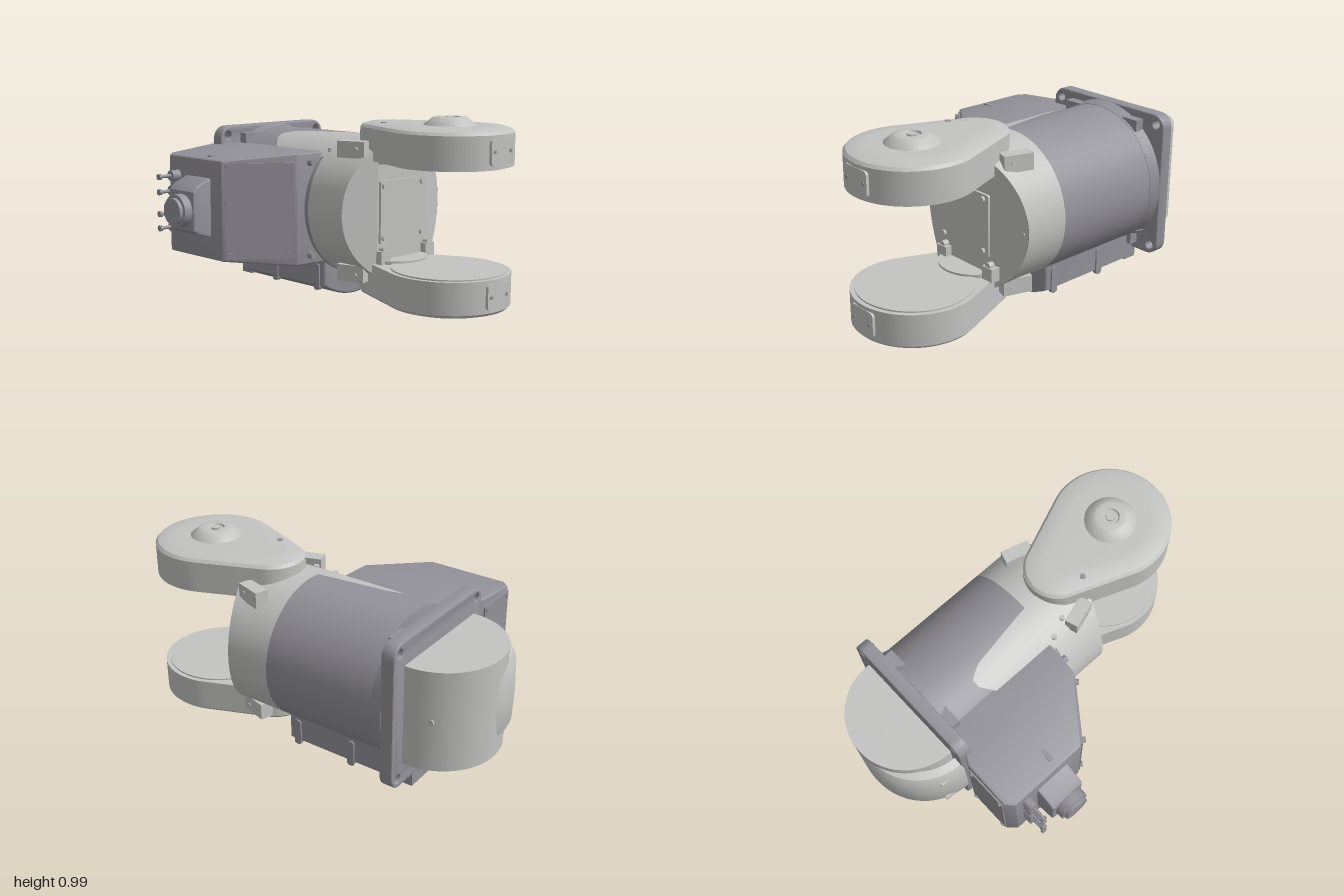
import * as THREE from 'three';
import { toCreasedNormals } from 'three/addons/utils/BufferGeometryUtils.js';

const mat = (name, color, extra = {}) => {
  const m = new THREE.MeshStandardMaterial({ color, ...extra });
  m.name = name;
  return m;
};

export function createModel() {
  const root = new THREE.Group();
  const light = mat('light grey', 0xc3c3c2, { side: THREE.DoubleSide });
  const dark = mat('dark grey', 0x94929a);
  const CX = 0.25, CY = 0.5, R = 0.37;

  const add = (name, geo, m, x = 0, y = 0, z = 0, parent = root) => {
    const mesh = new THREE.Mesh(geo, m);
    mesh.name = name;
    mesh.position.set(x, y, z);
    parent.add(mesh);
    return mesh;
  };
  const cyl = (r1, r2, h, axis = 'y', n = 24) => {
    const g = new THREE.CylinderGeometry(r1, r2, h, n);
    if (axis === 'z') g.rotateX(Math.PI / 2);
    if (axis === 'x') g.rotateZ(Math.PI / 2);
    return g;
  };
  const box = (w, h, d) => new THREE.BoxGeometry(w, h, d);
  const poly = (pts) => new THREE.Shape(pts.map(([x, y]) => new THREE.Vector2(x, y)));
  const extrude = (shape, depth, bevel = 0, bevelThickness = bevel) => toCreasedNormals(
    new THREE.ExtrudeGeometry(shape, {
      depth: depth - 2 * bevelThickness, curveSegments: 32, bevelEnabled: bevel > 0,
      bevelSize: bevel, bevelOffset: -bevel, bevelThickness, bevelSegments: 3,
    }).translate(0, 0, bevelThickness), 0.5);
  const roundRect = (x, y, w, h, r) => {
    const s = new THREE.Shape();
    s.absarc(x + w - r, y + r, r, -Math.PI / 2, 0);
    s.absarc(x + w - r, y + h - r, r, 0, Math.PI / 2);
    s.absarc(x + r, y + h - r, r, Math.PI / 2, Math.PI);
    s.absarc(x + r, y + r, r, Math.PI, 1.5 * Math.PI);
    return s;
  };

  // Main barrel: dark rear, light front whose end slopes back at both sides
  add('barrelRear', cyl(R, R, 0.67, 'z', 64), dark, CX, CY, -0.265);
  const endZ = (x) => 0.375 - 0.35 * Math.max(0, Math.abs(x) - 0.18);
  const sleeve = new THREE.CylinderGeometry(R, R, 1, 96, 1, true).rotateX(Math.PI / 2);
  const sp = sleeve.attributes.position;
  for (let i = 0; i < sp.count; i++) sp.setZ(i, sp.getZ(i) > 0 ? endZ(sp.getX(i)) : 0.07);
  add('barrelFront', sleeve, light, CX, CY);
  let cap = new THREE.PlaneGeometry(2, 2, 74, 1);
  const cp = cap.attributes.position;
  for (let i = 0; i < cp.count; i++) {
    const x = cp.getX(i) * R;
    cp.setXYZ(i, x, cp.getY(i) * Math.sqrt(Math.max(0, R * R - x * x)), endZ(x));
  }
  cap = cap.toNonIndexed();
  cap.computeVertexNormals();
  add('barrelFace', cap, light, CX, CY);

  // Front access panel with bolts and feet
  add('accessPanel', extrude(roundRect(0.08, 0.34, 0.345, 0.32, 0.01), 0.014), light, 0, 0, 0.374);
  for (const x of [0.1, 0.39]) for (const y of [0.37, 0.635])
    add('panelBolt', cyl(0.015, 0.015, 0.014, 'z', 12), light, x, y, 0.394);
  for (const x of [0.1, 0.44]) {
    add('stopBlock', box(0.07, 0.07, 0.05), light, x, 0.27, 0.385);
    add('stopBolt', cyl(0.018, 0.018, 0.03, 'z', 12), light, x, 0.31, 0.39);
  }
  add('sideBolt', cyl(0.016, 0.016, 0.02, 'z', 12), light, 0.585, 0.5, 0.31);

  // Curved cover lying on top of the barrel
  const edge = (keys, z) => {
    for (let i = 1; i < keys.length; i++) if (z <= keys[i][0] + 1e-6) {
      const [a, b] = [keys[i - 1], keys[i]];
      return a[1] + (b[1] - a[1]) * (z - a[0]) / (b[0] - a[0]);
    }
    return keys[keys.length - 1][1];
  };
  const leftEdge = [[-0.365, 0.07], [-0.3, 0], [-0.2, -0.045], [0, -0.03], [0.22, 0.01]];
  const rightEdge = [[-0.365, 0.11], [-0.3, 0.15], [0, 0.2], [0.22, 0.23]];
  const strip = new THREE.PlaneGeometry(1, 1, 10, 24);
  const tp = strip.attributes.position;
  for (let i = 0; i < tp.count; i++) {
    const z = -0.365 + (0.5 - tp.getY(i)) * 0.585;
    const a = edge(leftEdge, z), b = edge(rightEdge, z);
    const x = a + (b - a) * (tp.getX(i) + 0.5);
    tp.setXYZ(i, x, CY + Math.sqrt(0.378 ** 2 - (x - CX) ** 2), z);
  }
  strip.computeVertexNormals();
  add('topCover', strip, light);
  for (const [x, z] of [[-0.01, -0.2], [0.02, 0.09], [0.06, 0.18]])
    add('coverBolt', cyl(0.014, 0.014, 0.02, 'y', 12), light, x, CY + Math.sqrt(0.143 - (x - CX) ** 2), z);

  // Mounting flange with corner holes
  const plate = roundRect(-0.135, 0.12, 0.77, 0.765, 0.07);
  for (const x of [-0.085, 0.585]) for (const y of [0.17, 0.835]) {
    const h = new THREE.Path();
    h.absarc(x, y, 0.022, 0, Math.PI * 2, true);
    plate.holes.push(h);
  }
  add('flange', extrude(plate, 0.07, 0.008), dark, 0, 0, -0.67);
  add('flangeCollar', cyl(0.372, 0.385, 0.06, 'z', 64), dark, CX, CY, -0.57);
  for (const y of [0.19, 0.815]) add('flangeRib', box(0.5, 0.06, 0.06), dark, CX, y, -0.58);

  // Rear wrist drum and its offset bulging cover
  add('rearDrum', cyl(0.307, 0.307, 0.52, 'y', 64), light, 0.243, CY, -0.683);
  const profile = [[0.27, -0.21], [0.31, -0.195], [0.33, -0.15], [0.335, 0], [0.33, 0.15], [0.31, 0.195], [0.27, 0.21]];
  add('drumCover', toCreasedNormals(new THREE.LatheGeometry(
    profile.map(([r, y]) => new THREE.Vector2(r, y)), 40, Math.PI / 2, Math.PI), 0.6), light, 0.185, CY, -0.665);
  for (const y of [0.37, 0.63]) add('drumSlot', box(0.05, 0.035, 0.12), light, -0.11, y, -0.74);
  add('drumBolt', cyl(0.016, 0.016, 0.02, 'x', 12), light, 0.52, CY, -0.8);

  // Side junction box, its height growing toward the barrel
  const plan = poly([[-0.47, 0.62], [-0.47, 0.19], [-0.17, -0.04], [0.1, -0.06], [0.1, 0.62], [-0.1, 0.62], [-0.18, 0.66], [-0.43, 0.66]]);
  const jb = extrude(plan, 0.58, 0.012).translate(0, 0, -0.29).rotateX(-Math.PI / 2);
  const jp = jb.attributes.position;
  for (let i = 0; i < jp.count; i++) {
    const t = Math.min(1, Math.max(0, (jp.getX(i) + 0.47) / 0.3));
    jp.setY(i, jp.getY(i) * (0.89 + 0.11 * t));
  }
  add('junctionBox', toCreasedNormals(jb, 0.5), dark, 0, CY, 0);
  const lid = new THREE.Group();
  lid.name = 'frontLid';
  lid.position.set(-0.32, CY, -0.075);
  lid.rotation.y = -0.654;
  root.add(lid);
  add('lidPlate', box(0.35, 0.49, 0.02), dark, 0, 0, 0, lid);
  for (const x of [-0.15, 0.15]) for (const y of [-0.225, 0.225])
    add('lidBolt', cyl(0.015, 0.015, 0.02, 'z', 12), dark, x, y, 0.016, lid);
  add('backPlate', box(0.24, 0.48, 0.012), dark, -0.305, CY, -0.662);
  for (const x of [-0.405, -0.205]) for (const y of [0.28, 0.72])
    add('backBolt', cyl(0.01, 0.01, 0.01, 'z', 10), dark, x, y, -0.67);
  for (const y of [0.26, 0.74]) {
    add('boxBolt', cyl(0.018, 0.018, 0.03, 'z', 12), dark, -0.085, y, 0.06);
    add('boxRib', box(0.25, 0.06, 0.025), dark, -0.3, y, -0.345);
  }

  // Connector housing, main plug and small cable plugs
  add('connectorHousing', extrude(poly([[-0.45, 0.35], [-0.45, 0.67], [-0.55, 0.63], [-0.58, 0.6], [-0.58, 0.4], [-0.55, 0.38]].reverse()), 0.2, 0.01), dark, 0, 0, -0.48);
  add('plugBase', cyl(0.085, 0.085, 0.05, 'x', 32), dark, -0.6, CY, -0.375);
  add('plugCap', cyl(0.068, 0.068, 0.03, 'x', 32), dark, -0.63, CY, -0.375);
  for (const y of [0.655, 0.575, 0.46, 0.385]) {
    add('smallPlug', cyl(0.028, 0.028, 0.06, 'x', 16), dark, -0.49, y, -0.55);
    add('plugPin', cyl(0.009, 0.009, 0.09, 'x', 10), dark, -0.55, y, -0.55);
    add('plugTip', cyl(0.016, 0.016, 0.015, 'x', 12), dark, -0.59, y, -0.55);
  }

  // Belly housing with rounded underside and bolt channels
  const belly = new THREE.Shape();
  belly.moveTo(0.02, 0.28);
  belly.lineTo(0.02, 0.075);
  belly.quadraticCurveTo(CX, -0.065, 0.475, 0.075);
  belly.lineTo(0.475, 0.28);
  add('belly', extrude(belly, 0.65, 0.015), dark, 0, 0, -0.6);
  add('bellyStep', box(0.38, 0.16, 0.08), dark, CX, 0.12, -0.62);
  for (const x of [0.022, 0.473]) for (const z of [-0.005, -0.33])
    add('bellyChannel', extrude(roundRect(-0.02, 0.05, 0.04, 0.14, 0.015), 0.02).rotateY(Math.PI / 2), dark, x - 0.01, 0, z);

  // Teardrop arms; the lower one is the upper one turned over
  const tear = new THREE.Shape();
  const big = 0.308, small = 0.17, alpha = Math.asin((big - small) / 0.37);
  tear.absarc(0, -0.69, big, Math.PI - alpha, 2 * Math.PI + alpha);
  tear.absarc(0, -0.32, small, alpha, Math.PI - alpha);
  const flat = (g) => g.rotateX(-Math.PI / 2);
  const wallGeo = flat(extrude(tear, 0.16)), crownGeo = flat(extrude(tear, 0.08, 0.1, 0.03));
  for (const upper of [true, false]) {
    const arm = new THREE.Group();
    arm.name = upper ? 'upperArm' : 'lowerArm';
    arm.position.set(0.245, CY, 0);
    arm.rotation.z = upper ? 0 : Math.PI;
    root.add(arm);
    add('armWall', wallGeo, light, 0, 0.262, 0, arm);
    add('armCrown', crownGeo, light, 0, 0.371, 0, arm);
    add('innerDisc', cyl(0.285, 0.285, 0.01, 'y', 48), light, 0, 0.26, 0.69, arm);
    add('knuckleDisc', cyl(0.18, 0.18, 0.03, 'y', 40), light, 0, 0.26, 0.32, arm);
    for (const z of [0.205, 0.945])
      add('armPad', flat(extrude(roundRect(-0.075, -0.018, 0.15, 0.036, 0.017), 0.03)), light, 0, 0.405, z, arm);
    add('frontPad', extrude(roundRect(-0.085, 0.28, 0.17, 0.125, 0.02), 0.02), light, 0, 0, 0.98, arm);
    for (const x of [-0.06, 0.06])
      add('padBolt', cyl(0.009, 0.009, 0.008, 'z', 10), dark, x, 0.345, 1.0, arm);
    // Root brackets beside the arm
    for (const s of [-1, 1]) {
      const b = add('rootBracket', box(0.07, 0.085, 0.15), light, s * 0.225, 0.315, 0.255, arm);
      b.rotation.y = -s * 0.3;
      for (const z of [0.3, 0.345])
        add('bracketBolt', cyl(0.01, 0.01, 0.02, 'x', 10), light, s * 0.245, 0.32, z - 0.05, arm);
    }
    if (upper) {
      // Pivot boss with hex nut
      const pts = [[0.14, 0.43], [0.13, 0.452], [0.085, 0.487], [0.075, 0.49], [0.045, 0.49], [0.04, 0.48], [0, 0.48]];
      add('pivotBoss', toCreasedNormals(new THREE.LatheGeometry(pts.map(([r, y]) => new THREE.Vector2(r, y)), 40), 0.5), light, 0, 0, 0.685, arm);
      add('pivotNut', cyl(0.025, 0.025, 0.014, 'y', 6), light, 0, 0.483, 0.685, arm);
      add('armPlug', cyl(0.015, 0.015, 0.012, 'y', 12), dark, -0.13, 0.446, 0.37, arm);
    } else {
      for (const [x, z] of [[-0.24, 0.69], [0.24, 0.69], [-0.15, 0.4], [0.15, 0.4], [0, 0.9]])
        add('coverScrew', cyl(0.014, 0.014, 0.012, 'y', 12), light, x, 0.436, z, arm);
    }
  }
  return root;
}
